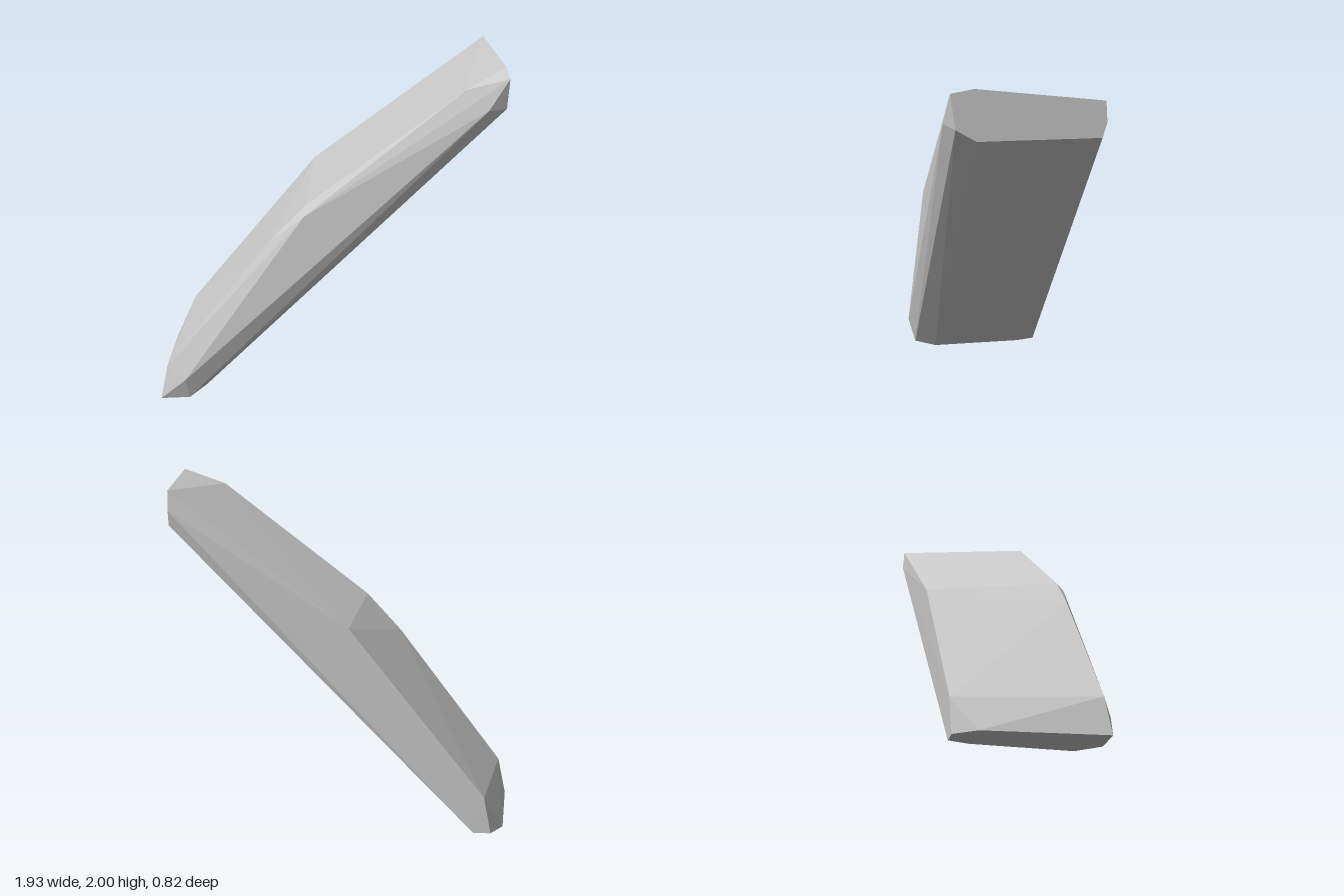
import * as THREE from 'three';
import { ConvexGeometry } from 'three/addons/geometries/ConvexGeometry.js';

// A faceted, leaning stone slab: the convex hull of its chipped corners.
export function createModel() {
  const stone = new THREE.MeshStandardMaterial({ color: 0xcccccc });
  stone.name = 'stone grey';
  stone.flatShading = true;

  // flat foot resting on the ground
  const foot = [
    [-0.967, 0, 0.37], [-0.89, 0, -0.28], [-0.81, 0, -0.4],
    [-0.715, 0, -0.4], [-0.69, 0, -0.29], [-0.7, 0, 0.25], [-0.8, 0, 0.37],
  ];
  // flat cut at the raised end
  const raisedEnd = [
    [0.965, 1.98, 0.38], [0.965, 2.0, 0.26], [0.965, 1.92, -0.4],
    [0.965, 1.81, -0.408], [0.965, 1.732, -0.385], [0.965, 1.737, 0.25], [0.965, 1.8, 0.355],
  ];
  // front ridge of the upper face, then the bulge of the front side
  const frontSide = [
    [-0.92, 0.22, 0.347], [-0.31, 1.03, 0.347], [-0.11, 1.25, 0.347], [0.74, 1.91, 0.347],
    [-0.12, 1.2, 0.385], [-0.82, 0.15, 0.41], [0.86, 1.81, 0.402],
  ];
  // back ridge of the upper face
  const backSide = [[-0.77, 0.21, -0.406], [-0.01, 1.17, -0.407]];

  const corners = [...foot, ...raisedEnd, ...frontSide, ...backSide]
    .map((p) => new THREE.Vector3(...p));
  const slab = new THREE.Mesh(new ConvexGeometry(corners), stone);
  slab.name = 'stoneSlab';

  const group = new THREE.Group();
  group.name = 'leaningStone';
  group.add(slab);
  return group;
}
